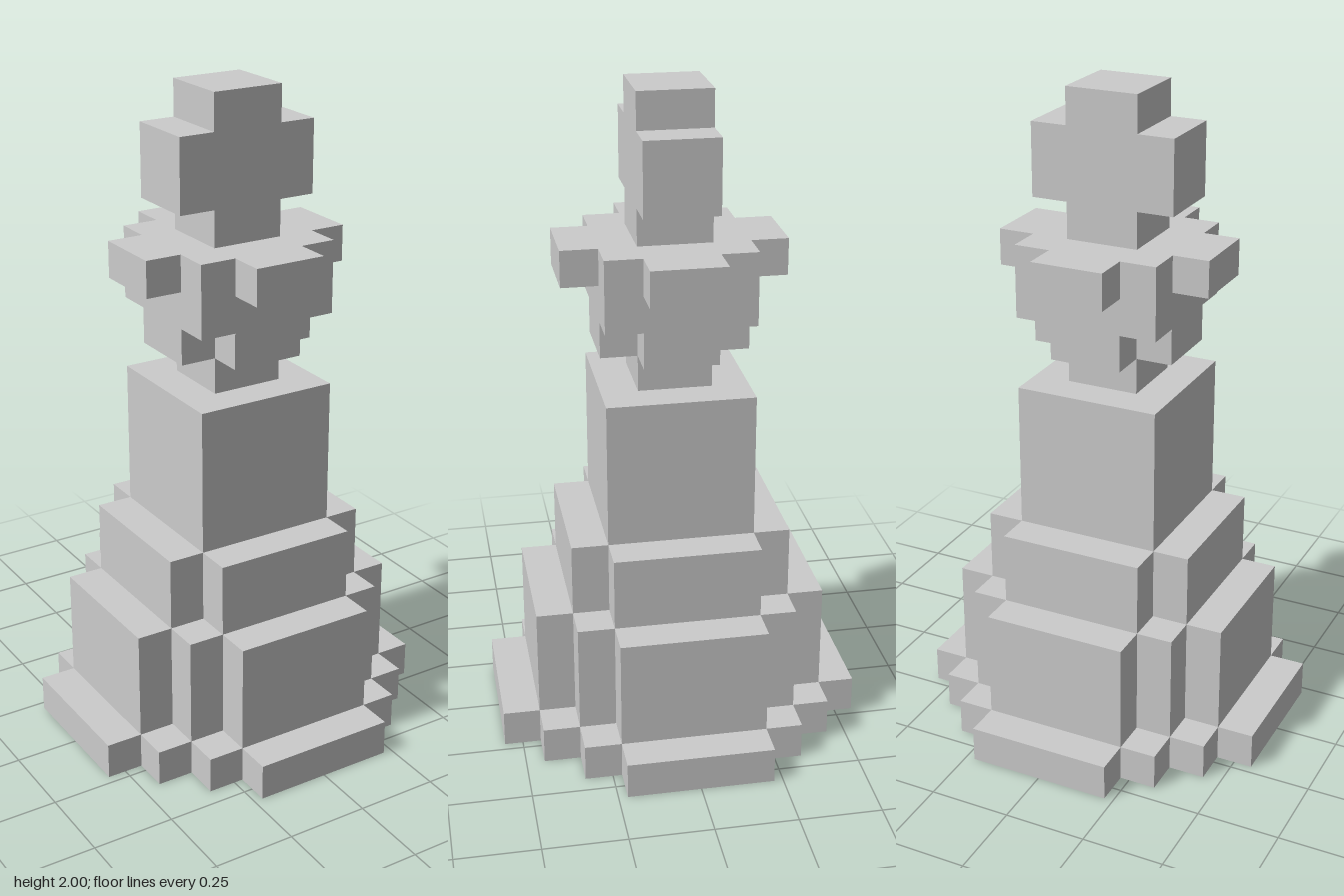
import * as THREE from 'three';

const U = 1 / 9; // edge of one block

// Stepped outline, symmetric in both axes, from [halfWidth, halfDepth] corners
// listed from widest to deepest.
function steppedShape(corners) {
  const quad = [];
  corners.forEach(([a, b], i) => {
    if (i > 0) quad.push([a, corners[i - 1][1]]);
    quad.push([a, b]);
  });
  const back = [...quad].reverse();
  const points = [
    ...quad,
    ...back.map(([x, y]) => [-x, y]),
    ...quad.map(([x, y]) => [-x, -y]),
    ...back.map(([x, y]) => [x, -y]),
  ];
  return new THREE.Shape(points.map(([x, y]) => new THREE.Vector2(x * U, y * U)));
}

function extrude(corners, depth) {
  return new THREE.ExtrudeGeometry(steppedShape(corners), { depth: depth * U, bevelEnabled: false });
}

export function createModel() {
  const group = new THREE.Group();
  const material = new THREE.MeshStandardMaterial({ color: 0xcccccc, flatShading: true });

  const add = (name, geometry) => {
    const mesh = new THREE.Mesh(geometry, material);
    mesh.name = name;
    group.add(mesh);
  };

  // Horizontal layers: name, bottom, top, plan corners (all in blocks)
  const layers = [
    ['basePlate', 0, 1, [[5, 2], [4, 3], [3, 4], [2, 5]]],
    ['lowerTier', 1, 4, [[4, 2], [3, 3], [2, 4]]],
    ['upperTier', 4, 6, [[3, 2], [2, 3]]],
    ['column', 6, 10, [[2, 2]]],
    ['neck', 10, 11, [[1, 1]]],
    ['headUnderside', 11, 12, [[2, 1], [1, 2]]],
    ['head', 12, 13, [[2, 2]]],
    ['collar', 13, 14, [[3, 1], [2, 2], [1, 3]]],
  ];
  for (const [name, bottom, top, corners] of layers) {
    add(name, extrude(corners, top - bottom).rotateX(-Math.PI / 2).translate(0, bottom * U, 0));
  }

  // Upright cross on top, facing front
  add('crossFinial', extrude([[2, 1], [1, 2]], 2).translate(0, 16 * U, -U));

  return group;
}
